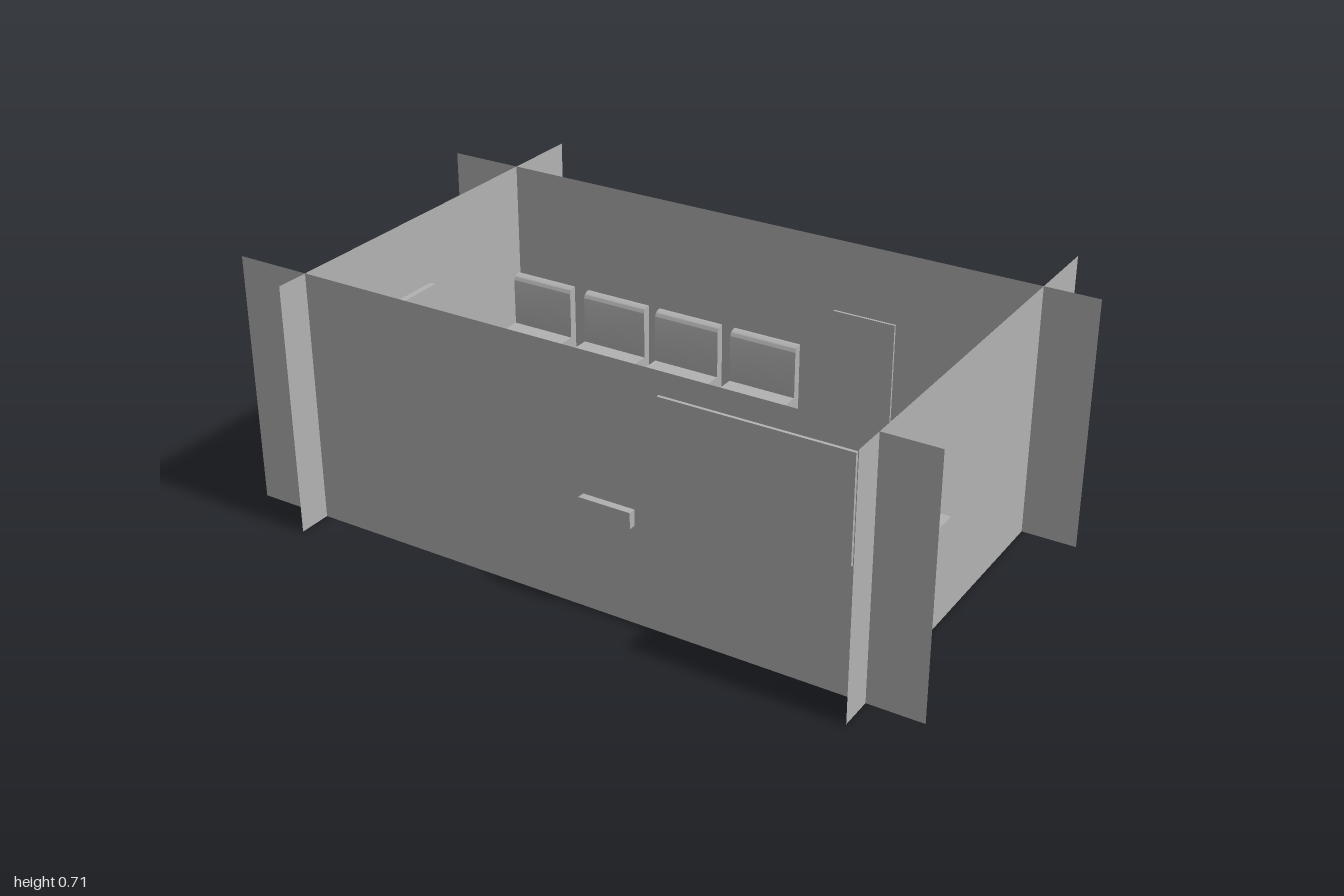
import * as THREE from 'three';
import { toCreasedNormals } from 'three/addons/utils/BufferGeometryUtils.js';

const H = 0.715;

export function createModel() {
  const room = new THREE.Group();
  room.name = 'waitingRoom';
  const grey = new THREE.MeshStandardMaterial({ color: 0xb2b2b2 });
  grey.name = 'plainGrey';
  const wallGrey = grey.clone();
  wallGrey.name = 'wallGrey';
  wallGrey.side = THREE.DoubleSide;

  const add = (name, geometry, material = grey) => {
    const mesh = new THREE.Mesh(geometry, material);
    mesh.name = name;
    room.add(mesh);
    return mesh;
  };

  // Box given by its limits on each axis
  const box = (name, [x0, x1], [y0, y1], [z0, z1]) =>
    add(name, new THREE.BoxGeometry(x1 - x0, y1 - y0, z1 - z0))
      .position.set((x0 + x1) / 2, (y0 + y1) / 2, (z0 + z1) / 2);

  // Extrusion centred on its own length, smooth only over the rounded edges
  const extrude = (shape, depth) => {
    const g = new THREE.ExtrudeGeometry(shape, { depth, bevelEnabled: false, curveSegments: 6 });
    g.translate(0, 0, -depth / 2);
    return toCreasedNormals(g, 0.6);
  };

  // Rectangle with its upper left corner rounded
  const roundedSlab = (w, y0, y1, r) => {
    const s = new THREE.Shape();
    s.moveTo(0, y0);
    s.lineTo(w, y0);
    s.lineTo(w, y1);
    s.lineTo(r, y1);
    s.absarc(r, y1 - r, r, Math.PI / 2, Math.PI, false);
    return s;
  };

  // Four crossing walls without thickness
  for (const [name, z] of [['frontWall', 0.525], ['backWall', -0.392]]) {
    add(name, new THREE.PlaneGeometry(2, H), wallGrey).position.set(0, H / 2, z);
  }
  for (const [name, x] of [['leftWall', 0.846], ['rightWall', -0.785]]) {
    const wall = add(name, new THREE.PlaneGeometry(1.244, H), wallGrey);
    wall.position.set(x, H / 2, 0);
    wall.rotation.y = Math.PI / 2;
  }

  // Seats: L-shaped section with rounded backrest top and seat front
  const section = new THREE.Shape();
  section.moveTo(0, 0.1);
  section.lineTo(0.17, 0.1);
  section.lineTo(0.17, 0.21);
  section.absarc(0.15, 0.21, 0.02, 0, Math.PI / 2, false);
  section.lineTo(0.025, 0.23);
  section.lineTo(0.025, 0.365);
  section.absarc(0.005, 0.365, 0.02, 0, Math.PI / 2, false);
  section.lineTo(0, 0.385);
  const seatGeometry = extrude(section, 0.207);
  for (const x of [-0.688, -0.432, -0.188, 0.06]) {
    const seat = add('seat', seatGeometry);
    seat.position.set(x, 0, -0.385);
    seat.rotation.y = -Math.PI / 2;
  }
  const sideSeat = add('sideSeat', seatGeometry);
  sideSeat.position.set(0.83, 0, -0.208);
  sideSeat.rotation.y = Math.PI;

  // Low table in front of the side seat
  box('table', [0.49, 0.62], [0.155, 0.2], [-0.36, -0.055]);

  // Counter body and its floating return
  const counter = add('counter', extrude(roundedSlab(0.185, 0.085, 0.325, 0.012), 0.82));
  counter.position.set(0.46, 0, 0.145);
  counter.rotation.y = -Math.PI / 2;
  add('counterReturn', extrude(roundedSlab(0.157, 0.28, 0.325, 0.012), 0.217))
    .position.set(0.053, 0, 0.4375);

  // Door panels
  box('backDoor', [0.262, 0.445], [0.13, 0.51], [-0.405, -0.385]);
  box('sideDoor', [-0.79, -0.767], [0.13, 0.505], [0.03, 0.212]);

  // Framed screen on the front wall, facing inwards
  const frame = new THREE.Shape();
  frame.moveTo(0.28, 0.36);
  frame.lineTo(0.797, 0.36);
  frame.lineTo(0.797, 0.652);
  frame.lineTo(0.28, 0.652);
  const opening = new THREE.Path();
  opening.moveTo(0.308, 0.386);
  opening.lineTo(0.308, 0.626);
  opening.lineTo(0.769, 0.626);
  opening.lineTo(0.769, 0.386);
  frame.holes.push(opening);
  add('screenFrame', extrude(frame, 0.043)).position.z = 0.5125;
  box('screenPanel', [0.308, 0.769], [0.386, 0.626], [0.512, 0.534]);

  return room;
}
